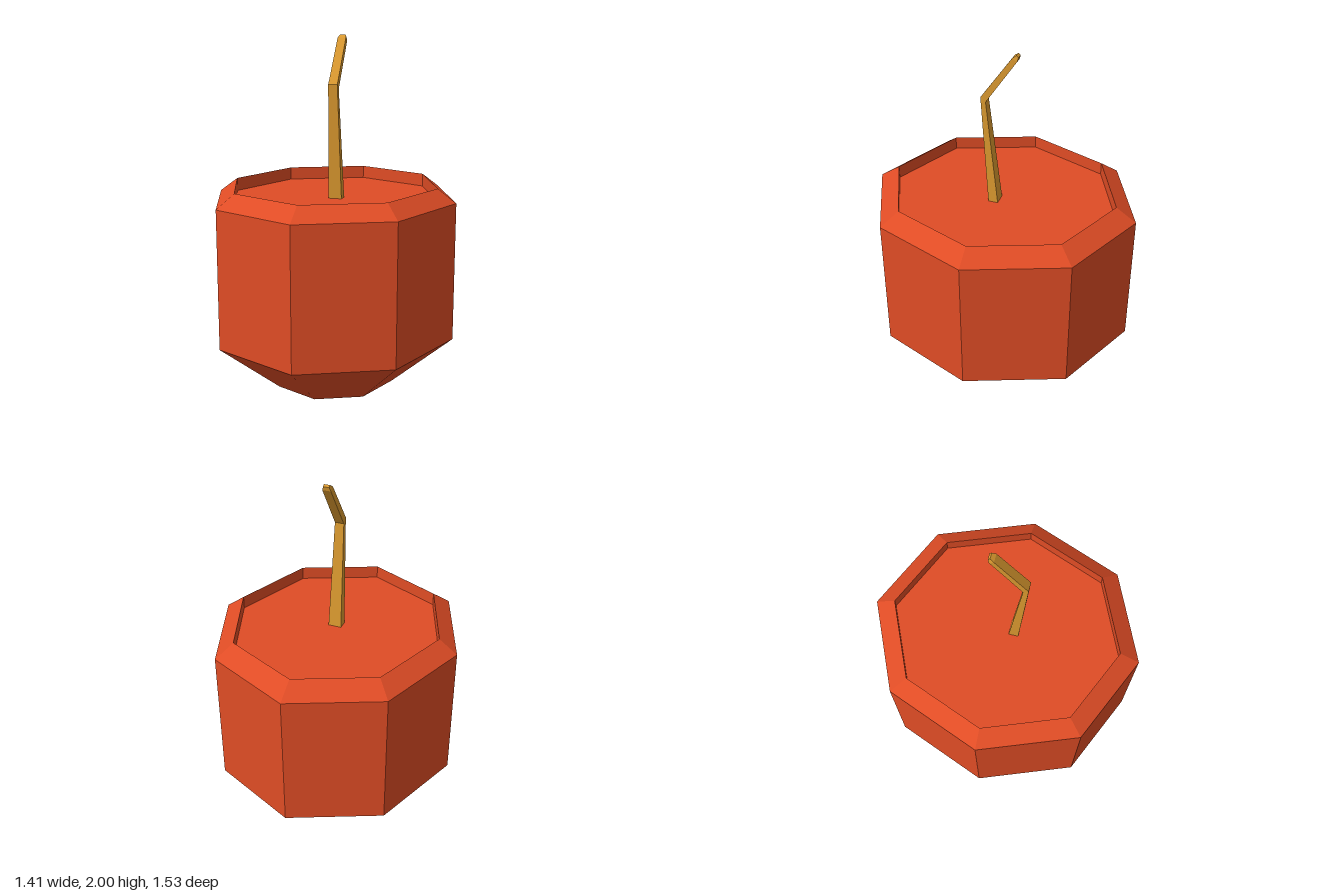
import * as THREE from 'three';

const red = new THREE.MeshStandardMaterial({ color: 0xdf4c25 });
red.name = 'pumpkinRed';
const ochre = new THREE.MeshStandardMaterial({ color: 0xd9982f });
ochre.name = 'stemOchre';

// Split the faces so every facet is flat
function faceted(geometry) {
  const flat = geometry.toNonIndexed();
  flat.computeVertexNormals();
  return flat;
}

// Skin a row of four-cornered rings, closing both ends
function loft(rings) {
  const index = [0, 2, 1, 0, 3, 2];
  for (let r = 0; r < rings.length - 1; r++) {
    for (let i = 0; i < 4; i++) {
      const a = r * 4 + i, b = r * 4 + (i + 1) % 4;
      index.push(a, b, b + 4, a, b + 4, a + 4);
    }
  }
  const t = (rings.length - 1) * 4;
  index.push(t, t + 1, t + 2, t, t + 2, t + 3);
  const geometry = new THREE.BufferGeometry();
  geometry.setAttribute('position', new THREE.Float32BufferAttribute(rings.flat(2), 3));
  geometry.setIndex(index);
  return faceted(geometry);
}

export function createModel() {
  const group = new THREE.Group();
  group.name = 'pumpkin';

  // Eight-sided body with a recessed top, slightly longer front to back
  const profile = [
    [0, 0], [0.354, 0], [0.706, 0.295], [0.706, 1.087],
    [0.6, 1.165], [0.6, 1.09], [0, 1.09],
  ].map(([r, y]) => new THREE.Vector2(r, y));
  const bodyGeometry = new THREE.LatheGeometry(profile, 8);
  bodyGeometry.scale(1, 1, 1.087);
  const body = new THREE.Mesh(faceted(bodyGeometry), red);
  body.name = 'body';
  group.add(body);

  // Bent, tapering stem: half width, front edge (y, z), back edge (y, z)
  const cx = 0.026;
  const rings = [
    [0.038, 1.08, 0.071, 1.08, 0.015],
    [0.026, 1.735, 0.115, 1.71, 0.086],
    [0.024, 1.985, -0.061, 1.968, -0.088],
    [0.017, 2.0, -0.082, 1.99, -0.093],
  ].map(([w, yf, zf, yb, zb]) => [
    [cx - w, yf, zf], [cx + w, yf, zf], [cx + w, yb, zb], [cx - w, yb, zb],
  ]);
  const stem = new THREE.Mesh(loft(rings), ochre);
  stem.name = 'stem';
  group.add(stem);

  return group;
}
